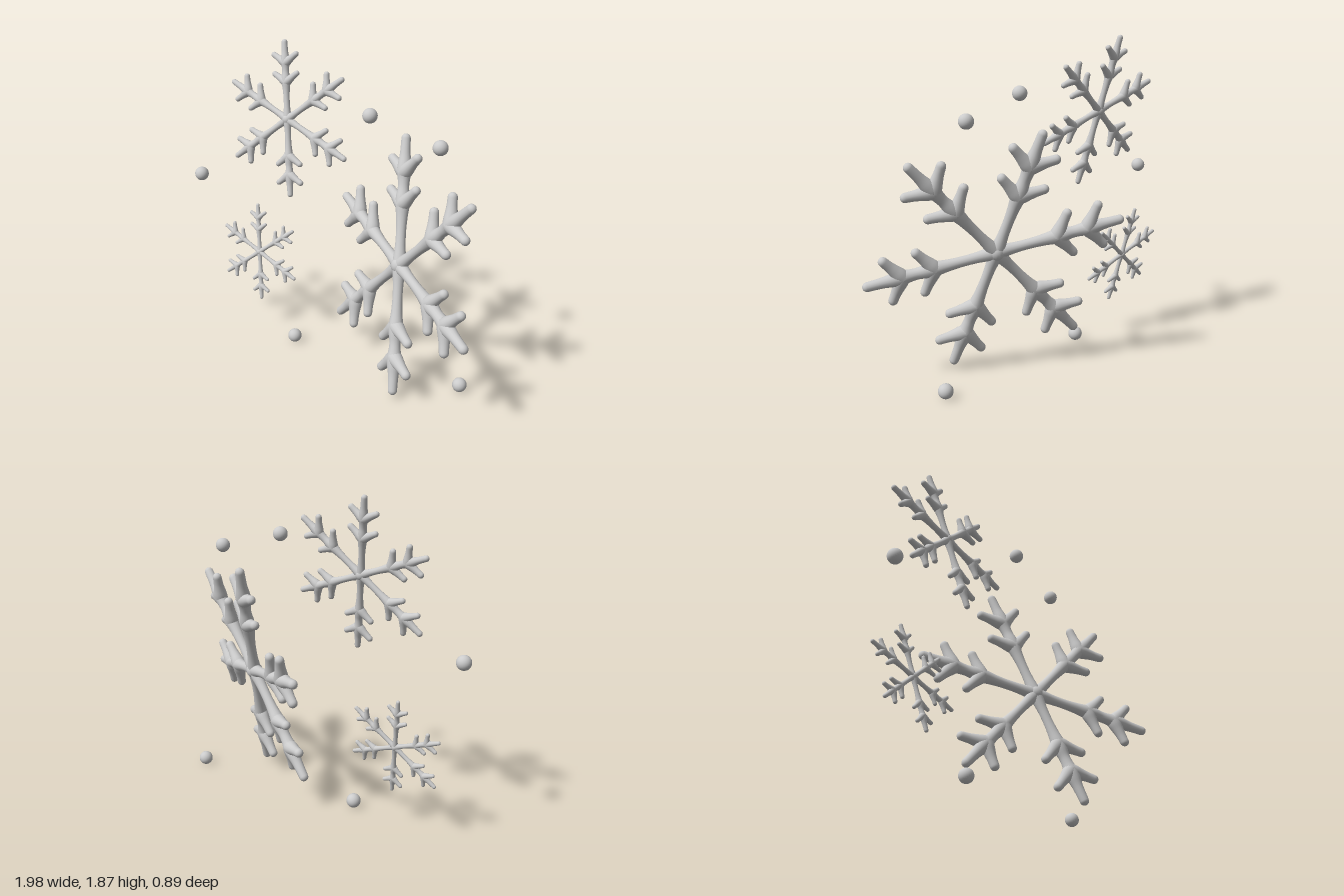
import * as THREE from 'three';

const material = new THREE.MeshStandardMaterial({ color: 0xcccccc });

// Smooth round rod along +y: [radius, height] points, closed by a rounded tip
function rod(points, length, tipRadius) {
  const curve = new THREE.SplineCurve(points.map(([r, h]) => new THREE.Vector2(r, h)));
  const profile = curve.getPoints(points.length * 4);
  for (let i = 1; i <= 6; i++) {
    const a = (i / 6) * Math.PI / 2;
    profile.push(new THREE.Vector2(
      i === 6 ? 0 : tipRadius * Math.cos(a),
      length - tipRadius + tipRadius * Math.sin(a)));
  }
  return new THREE.LatheGeometry(profile, 16);
}

// Arm of unit length, swelling where the twigs leave it
const stemGeometry = rod([
  [0.056, 0], [0.05, 0.06], [0.041, 0.15], [0.039, 0.26], [0.045, 0.37], [0.056, 0.46],
  [0.054, 0.52], [0.044, 0.59], [0.047, 0.65], [0.057, 0.71], [0.053, 0.77],
  [0.041, 0.85], [0.036, 0.965]], 1, 0.036);

// Twig with a flared root
const twigGeometry = rod([
  [0.058, 0], [0.055, 0.04], [0.046, 0.09], [0.039, 0.14], [0.036, 0.199]], 0.235, 0.036);

const hubGeometry = new THREE.SphereGeometry(0.066, 20, 14);

function part(geometry, name) {
  const mesh = new THREE.Mesh(geometry, material);
  mesh.name = name;
  return mesh;
}

function makeArm() {
  const arm = new THREE.Group();
  arm.name = 'arm';
  arm.add(part(stemGeometry, 'stem'));
  for (const [height, name] of [[0.465, 'innerTwig'], [0.705, 'outerTwig']]) {
    for (const side of [-1, 1]) {
      const twig = part(twigGeometry, name);
      twig.position.y = height;
      twig.rotation.z = side * Math.PI * 0.32;
      arm.add(twig);
    }
  }
  return arm;
}

// Six-armed flake; up and across are directions of its plane
function makeFlake(name, size, center, up, across) {
  const flake = new THREE.Group();
  flake.name = name;
  flake.add(part(hubGeometry, 'hub'));
  for (let i = 0; i < 6; i++) {
    const arm = makeArm();
    arm.rotation.z = i * Math.PI / 3;
    flake.add(arm);
  }
  const y = new THREE.Vector3(...up).normalize();
  const z = new THREE.Vector3(...across).cross(y).normalize();
  const x = new THREE.Vector3().crossVectors(y, z);
  flake.quaternion.setFromRotationMatrix(new THREE.Matrix4().makeBasis(x, y, z));
  flake.position.set(...center);
  flake.scale.setScalar(size);
  return flake;
}

export function createModel() {
  const model = new THREE.Group();
  model.name = 'snowflakes';

  model.add(makeFlake('largeFlake', 0.745, [0.395, 0.72, 0], [-0.10, 0.69, -0.26], [0.53, 0.205, 0.30]));
  model.add(makeFlake('mediumFlake', 0.457, [-0.39, 1.43, -0.10], [-0.07, 0.44, -0.10], [0.385, 0.07, 0.02]));
  model.add(makeFlake('smallFlake', 0.31, [-0.63, 0.503, -0.115], [-0.045, 0.30, -0.065], [0.267, 0.04, 0.013]));

  // Loose snow balls
  const ballGeometry = new THREE.SphereGeometry(0.042, 24, 16);
  for (const [x, y] of [[-0.958, 1.015], [0.195, 1.575], [0.61, 1.465], [-0.31, 0.042], [0.80, 0.042]]) {
    const ball = part(ballGeometry, 'snowBall');
    ball.position.set(x, y, 0);
    model.add(ball);
  }
  return model;
}
